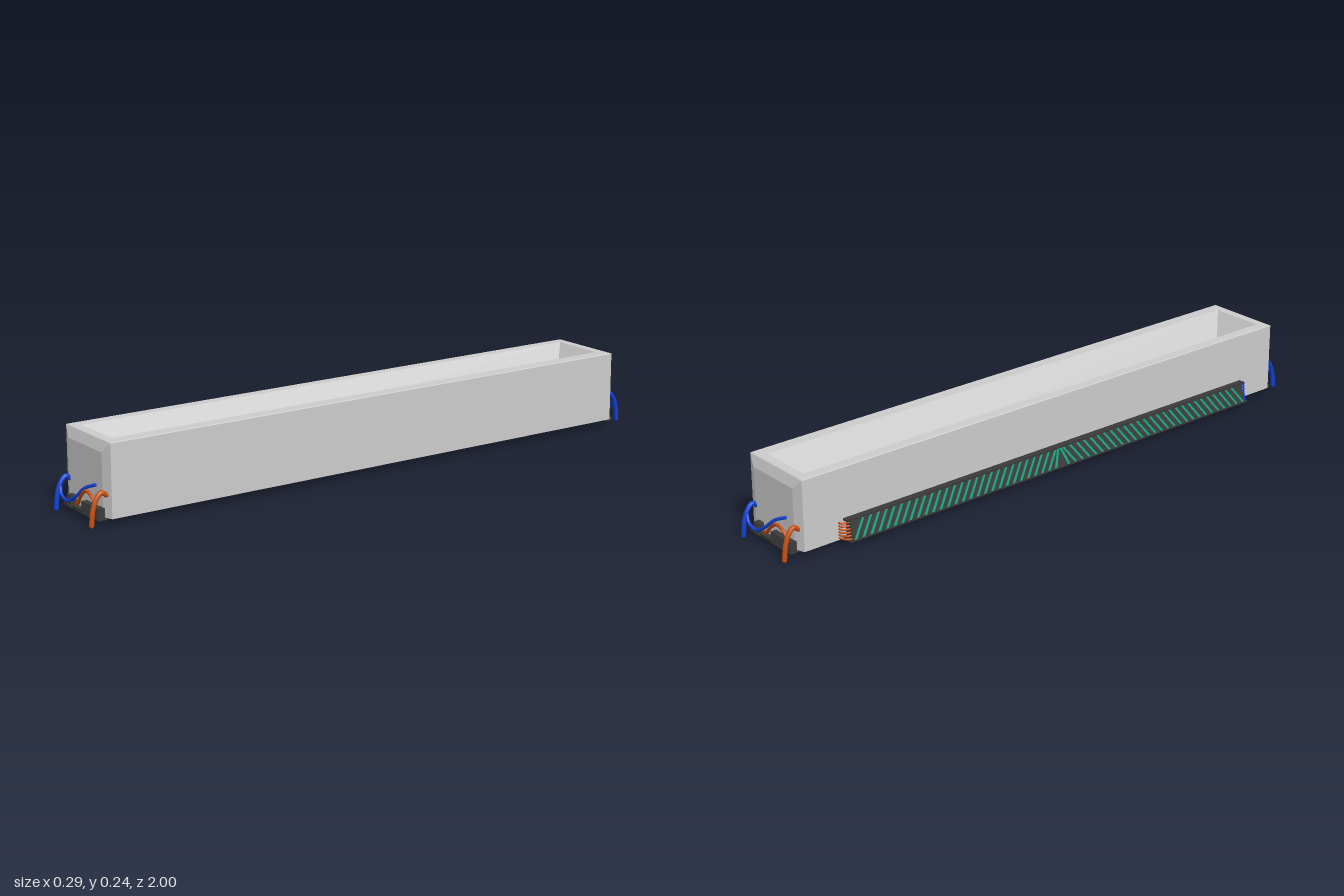
import * as THREE from 'three';

const grey = new THREE.MeshStandardMaterial({ color: 0xcccccc, flatShading: true });
const dark = new THREE.MeshStandardMaterial({ color: 0x3a3a3a });
const blue = new THREE.MeshStandardMaterial({ color: 0x1040d0 });
const orange = new THREE.MeshStandardMaterial({ color: 0xc8500f });
const teal = new THREE.MeshStandardMaterial({ color: 0x12a07a });

const MID = 0.0175; // centre line of the trough body

function add(parent, name, geometry, material) {
  const mesh = new THREE.Mesh(geometry, material);
  mesh.name = name;
  parent.add(mesh);
  return mesh;
}

function box(parent, name, material, [x0, x1], [y0, y1], [z0, z1]) {
  const mesh = add(parent, name, new THREE.BoxGeometry(x1 - x0, y1 - y0, z1 - z0), material);
  mesh.position.set((x0 + x1) / 2, (y0 + y1) / 2, (z0 + z1) / 2);
}

function tube(parent, name, material, radius, points) {
  const curve = new THREE.CatmullRomCurve3(points.map(p => new THREE.Vector3(...p)));
  add(parent, name, new THREE.TubeGeometry(curve, 32, radius, 10), material);
  // closed ends
  for (const t of [0, 1]) {
    const cap = add(parent, name + 'End', new THREE.SphereGeometry(radius, 10, 6), material);
    cap.position.copy(curve.getPoint(t));
    cap.scale.setScalar(0.98);
  }
}

// Joins four-cornered rings with flat faces and closes both ends
function loft(rings) {
  const out = [];
  const quad = (a, b, c, d) => out.push(...a, ...b, ...c, ...a, ...c, ...d);
  for (let r = 0; r + 1 < rings.length; r++) {
    for (let i = 0; i < 4; i++) {
      const j = (i + 1) % 4;
      quad(rings[r][i], rings[r][j], rings[r + 1][j], rings[r + 1][i]);
    }
  }
  const [a, b, c, d] = rings[0];
  quad(d, c, b, a);
  quad(...rings[rings.length - 1]);
  const g = new THREE.BufferGeometry();
  g.setAttribute('position', new THREE.Float32BufferAttribute(out, 3));
  g.computeVertexNormals();
  return g;
}

const levelRing = (y, x0, x1, z) => [[x0, y, z], [x1, y, z], [x1, y, -z], [x0, y, -z]];
const uprightRing = (z, x0, x1, y0, y1) => [[x0, y0, z], [x1, y0, z], [x1, y1, z], [x0, y1, z]];

// Bevelled end wall with its connectors and cables
function makeEnd() {
  const end = new THREE.Group();
  end.name = 'endAssembly';
  const part = new THREE.Group();
  part.name = 'endParts';
  part.position.x = -MID;
  end.add(part);

  add(part, 'endWall', loft([
    uprightRing(0.935, -0.11, 0.145, 0.022, 0.243),
    uprightRing(0.946, -0.08, 0.113, 0.022, 0.212),
  ]), grey);

  // ribbed connector blocks and the bar below them
  for (const [x0, x1] of [[0.021, 0.12], [-0.065, -0.04]]) {
    box(part, 'connectorBlock', dark, [x0 + 0.002, x1 - 0.002], [0.014, 0.05], [0.935, 0.962]);
    for (let i = 0; i < 7; i++) {
      const y = 0.014 + i * 0.0055;
      box(part, 'connectorRib', dark, [x0, x1], [y, y + 0.0035], [0.94, 0.966]);
    }
  }
  box(part, 'connectorBar', dark, [-0.092, 0.018], [0.012, 0.022], [0.935, 0.962]);

  // thick hoses dropping to the ground
  for (const [name, x, m] of [['blueHose', -0.08, blue], ['orangeHose', 0.127, orange]]) {
    tube(part, name, m, 0.0075, [[x, 0.09, 0.942], [x, 0.1, 0.958],
      [x, 0.085, 0.974], [x, 0.05, 0.987], [x, 0.008, 0.992]]);
  }
  // thin crossing cables
  tube(part, 'blueCable', blue, 0.005, [[-0.08, 0.078, 0.976], [-0.065, 0.053, 0.982],
    [-0.03, 0.042, 0.982], [0.01, 0.063, 0.976], [0.045, 0.095, 0.964], [0.076, 0.109, 0.947]]);
  tube(part, 'orangeCable', orange, 0.005, [[-0.035, 0.027, 0.95], [-0.005, 0.036, 0.962],
    [0.035, 0.072, 0.972], [0.075, 0.096, 0.978], [0.105, 0.092, 0.98], [0.127, 0.073, 0.979]]);
  return end;
}

// Slanted panel along the right side, striped in a chevron
function makePanel() {
  const panel = new THREE.Group();
  panel.name = 'sidePanel';
  const y0 = 0.022, y1 = 0.083, x0 = -0.145, x1 = -0.128;
  const shape = new THREE.Shape([
    new THREE.Vector2(-0.108, y0), new THREE.Vector2(-0.108, y1),
    new THREE.Vector2(x1, y1), new THREE.Vector2(x0, y0)]);
  const base = new THREE.ExtrudeGeometry(shape, { depth: 1.58, bevelEnabled: false });
  base.translate(0, 0, -0.79);
  add(panel, 'panelBase', base, dark);
  box(panel, 'panelTopRail', dark, [-0.131, -0.108], [0.08, 0.086], [-0.8, 0.8]);
  box(panel, 'panelBottomRail', dark, [-0.147, -0.108], [0.021, 0.026], [-0.8, 0.8]);

  // each stripe is a thin bar sheared to follow the slanted face
  for (const side of [-1, 1]) {
    for (let i = 0; i < 28; i++) {
      const g = new THREE.BoxGeometry(0.002, 1, 0.009);
      const p = g.attributes.position;
      for (let v = 0; v < p.count; v++) {
        const t = p.getY(v) + 0.5;
        const z = 0.782 - i * 0.028 - 0.04 * t;
        p.setXYZ(v, p.getX(v) + x0 + (x1 - x0) * t, y0 + 0.004 + (y1 - y0 - 0.006) * t,
          side * Math.max(z, 0.004) + p.getZ(v));
      }
      g.computeVertexNormals();
      add(panel, 'panelStripe', g, teal);
    }
    // short wires from the panel end into the body
    for (let i = 0; i < 6; i++) {
      const y = 0.028 + i * 0.0095, x = -0.138 + i * 0.0025;
      tube(panel, 'panelWire', side > 0 ? blue : orange, 0.003,
        [[x, y, side * 0.788], [x + 0.003, y, side * 0.801],
          [-0.118, y, side * 0.812], [-0.108, y, side * 0.815]]);
    }
  }
  return panel;
}

export function createModel() {
  const model = new THREE.Group();
  model.name = 'troughPlanter';

  // long trough with a tapering hollow
  add(model, 'troughBody', loft([
    levelRing(0.022, -0.11, 0.145, 0.935),
    levelRing(0.243, -0.11, 0.145, 0.935),
    levelRing(0.245, -0.108, 0.143, 0.933),
    levelRing(0.245, -0.075, 0.103, 0.905),
    levelRing(0.12, 0.003, 0.025, 0.825),
  ]), grey);

  // the back end is the front end turned half way round
  for (const angle of [0, Math.PI]) {
    const end = makeEnd();
    end.position.x = MID;
    end.rotation.y = angle;
    model.add(end);
  }
  model.add(makePanel());
  return model;
}
